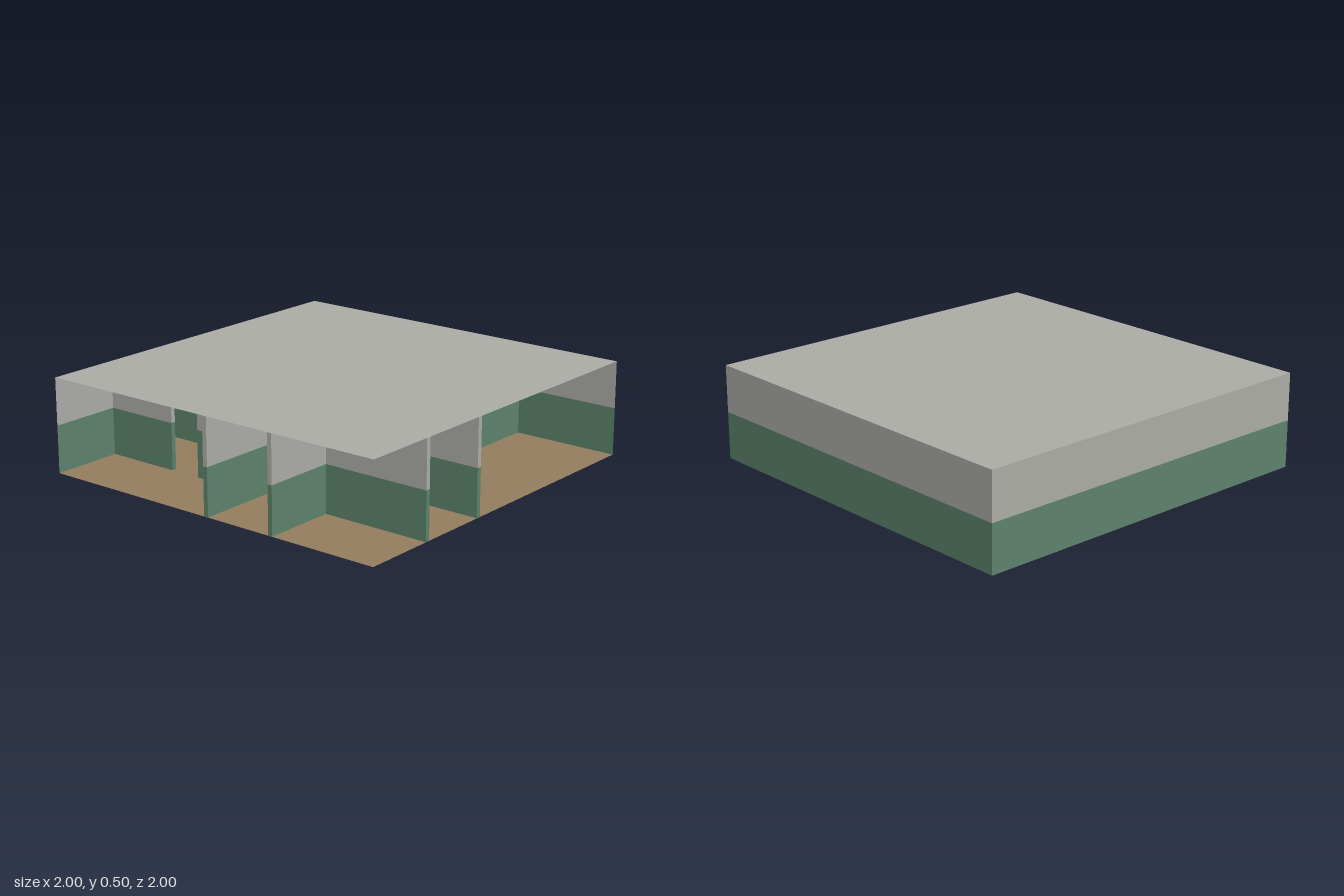
import * as THREE from 'three';

const SIZE = 2, HEIGHT = 0.5, THICK = 0.025, HALF = THICK / 2, INSET = 0.001;

export function createModel() {
  const group = new THREE.Group();
  group.name = 'floorPlan';
  const mat = (name, color) => new THREE.MeshStandardMaterial({ name, color, side: THREE.DoubleSide });
  const grey = mat('upperWallGrey', 0xadada8);
  const green = mat('lowerWallGreen', 0x5e846d);
  const brown = mat('floorBrown', 0x967e5f);

  const add = (name, geometry, material, x, y, z) => {
    const mesh = new THREE.Mesh(geometry, material);
    mesh.name = name;
    mesh.position.set(x, y, z);
    group.add(mesh);
    return mesh;
  };

  // Floor and ceiling sheets
  const sheet = new THREE.PlaneGeometry(SIZE, SIZE).rotateX(-Math.PI / 2);
  add('floor', sheet, brown, 0, 0, 0);
  add('ceiling', sheet, grey, 0, HEIGHT, 0);

  // Each wall has a green lower band and a grey upper band
  const bands = [['Lower', green, 0], ['Upper', grey, HEIGHT / 2]];

  // Thin outer walls on the back and one side; the other two sides stay open
  for (const [label, material, y0] of bands) {
    const panel = new THREE.PlaneGeometry(SIZE, HEIGHT / 2);
    const y = y0 + HEIGHT / 4;
    add('backWall' + label, panel, material, 0, y, -1).rotation.y = Math.PI;
    add('sideWall' + label, panel, material, 1, y, 0).rotation.y = Math.PI / 2;
  }

  // Partition running along x or z, from a to b at a fixed offset
  function partition(name, axis, offset, a, b) {
    for (const [label, material, y0] of bands) {
      const low = y0 === 0 ? INSET : y0;
      const high = y0 === 0 ? HEIGHT / 2 : HEIGHT - INSET;
      const mid = (a + b) / 2, y = (low + high) / 2, h = high - low;
      if (axis === 'x') add(name + label, new THREE.BoxGeometry(b - a, h, THICK), material, mid, y, offset);
      else add(name + label, new THREE.BoxGeometry(THICK, h, b - a), material, offset, y, mid);
    }
  }

  // Corridor walls, with a doorway into the large front room
  partition('corridorBackWall', 'x', 0, -1, 1);
  partition('corridorFrontWall', 'x', 0.4, -1, 0.4 + HALF);
  partition('corridorFrontWallEnd', 'x', 0.4, 0.6 - HALF, 1);

  // Front room dividers
  for (const x of [-0.6, -0.2]) partition('frontDivider', 'z', x, 0.4, 1);

  // Back room dividers, the first with a doorway
  partition('backDividerDoorSide', 'z', -0.6, -1, -0.6 + HALF);
  partition('backDivider', 'z', -0.6, -0.4 - HALF, 0);
  for (const x of [-0.2, 0.4]) partition('backDivider', 'z', x, -1, 0);

  return group;
}
